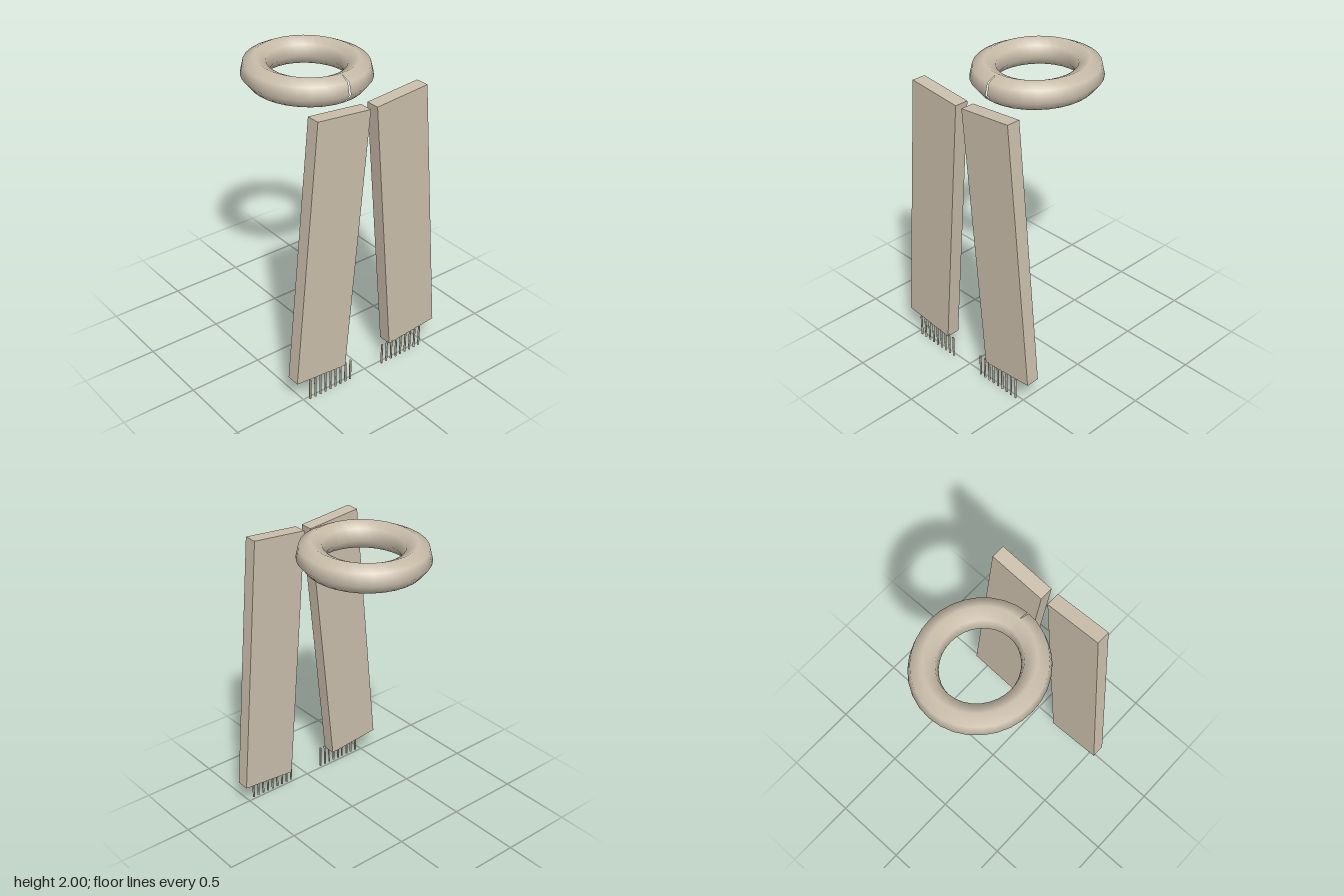
import * as THREE from 'three';

export function createModel() {
  const group = new THREE.Group();
  const wool = new THREE.MeshStandardMaterial({ color: 0xcbbfac });
  wool.name = 'beige wool';

  const add = (name, geometry, x, y, z) => {
    const mesh = new THREE.Mesh(geometry, wool);
    mesh.name = name;
    mesh.position.set(x, y, z);
    group.add(mesh);
    return mesh;
  };

  // Neck loop: seven-sided tube on an oval, with a narrow seam at the front
  const points = [];
  const steps = 48;
  for (let i = 0; i <= steps; i++) {
    const a = (i / steps) * Math.PI * 2;
    points.push(new THREE.Vector3(0.311 * Math.sin(a), 0, 0.33 * Math.cos(a)));
  }
  const oval = new THREE.CatmullRomCurve3(points);
  add('neckLoop', new THREE.TubeGeometry(oval, 32, 0.09, 7, false), 0, 1.91, -0.108);

  // Two hanging panels, splayed outwards towards the bottom
  const panel = new THREE.BoxGeometry(0.381, 1.762, 0.09);
  for (const side of [-1, 1]) {
    const mesh = add(side < 0 ? 'rightPanel' : 'leftPanel', panel, side * 0.294, 1.03, 0.48);
    mesh.rotation.z = side * 0.091;
  }

  // Fringe: nine upright strands under each panel
  const strand = new THREE.CylinderGeometry(0.007, 0.007, 0.15, 6);
  for (const [name, start] of [['rightFringe', -0.46], ['leftFringe', 0.128]]) {
    for (let i = 0; i < 9; i++) {
      add(name + (i + 1), strand, start + i * 0.0403, 0.075, 0.52);
    }
  }

  return group;
}
